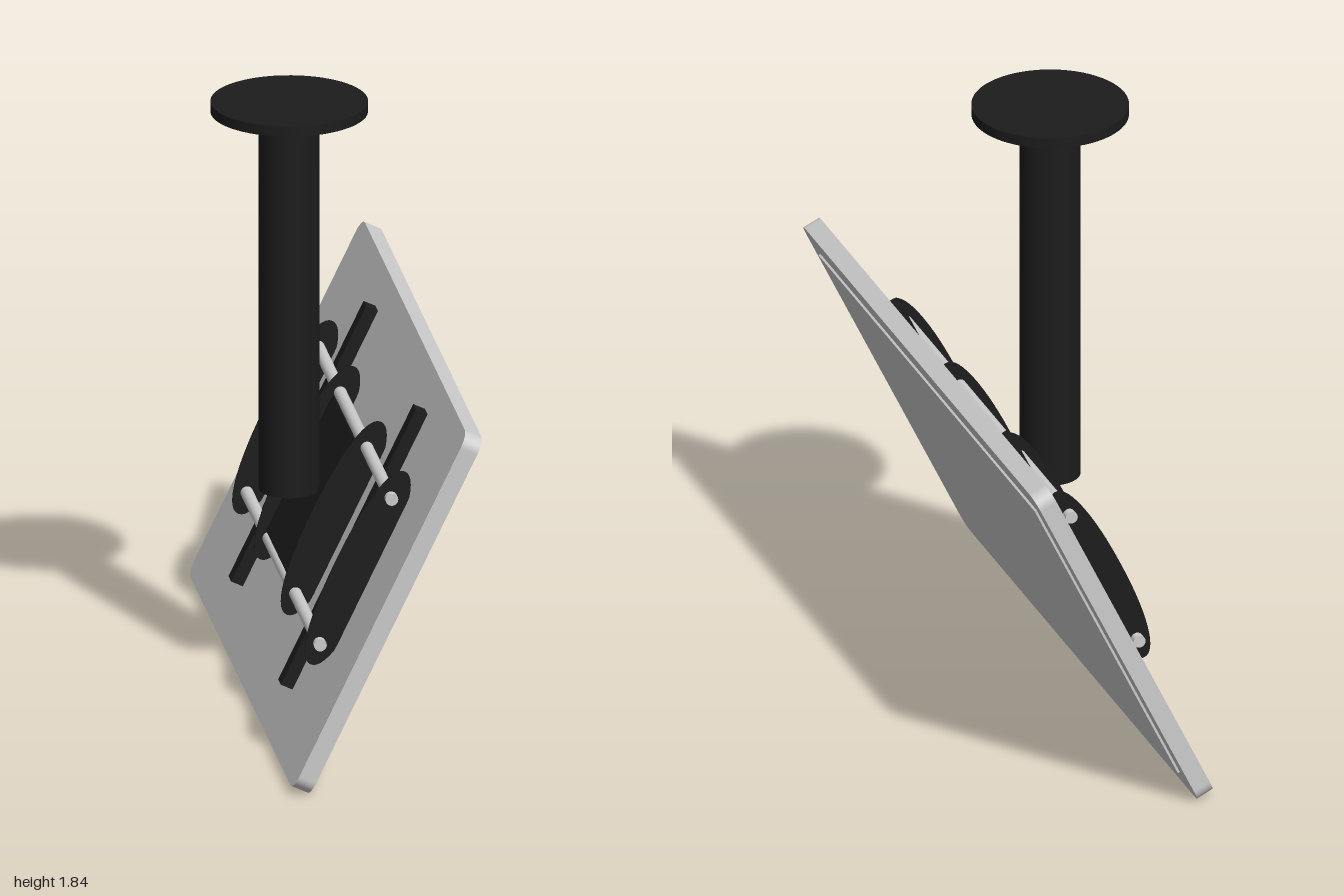
import * as THREE from 'three';

const black = new THREE.MeshStandardMaterial({ color: 0x1c1c1c });
const grey = new THREE.MeshStandardMaterial({ color: 0xcccccc });

function add(parent, name, geometry, material, x, y, z) {
  const mesh = new THREE.Mesh(geometry, material);
  mesh.name = name;
  mesh.position.set(x, y, z);
  parent.add(mesh);
  return mesh;
}

// Rounded rectangle, centred on the origin
function roundedRect(w, h, r) {
  const s = new THREE.Shape();
  const x = w / 2 - r, y = h / 2 - r;
  s.absarc(x, y, r, 0, Math.PI / 2);
  s.absarc(-x, y, r, Math.PI / 2, Math.PI);
  s.absarc(-x, -y, r, Math.PI, Math.PI * 1.5);
  s.absarc(x, -y, r, Math.PI * 1.5, Math.PI * 2);
  s.closePath();
  return s;
}

// Long oval side plate with blunt ends, its inner side cut flat at the panel
function ovalPlate(halfWidth, halfLength, flatX, thickness) {
  const pts = [];
  for (let i = 0; i < 56; i++) {
    const a = (i / 56) * Math.PI * 2;
    const c = Math.cos(a), s = Math.sin(a);
    const x = Math.sign(c) * Math.abs(c) ** 0.9 * halfWidth;
    const y = Math.sign(s) * Math.abs(s) ** 0.9 * halfLength;
    pts.push(new THREE.Vector2(Math.min(x, flatX), y));
  }
  const g = new THREE.ExtrudeGeometry(new THREE.Shape(pts), { depth: thickness, bevelEnabled: false });
  return g.translate(0, 0, -thickness / 2);
}

export function createModel() {
  const model = new THREE.Group();
  model.name = 'ceilingMountedScreen';
  const midZ = 0.033;

  // Ceiling disc and column
  add(model, 'ceilingPlate', new THREE.CylinderGeometry(0.233, 0.233, 0.032, 64), black, -0.1, 1.824, midZ);
  add(model, 'column', new THREE.CylinderGeometry(0.09, 0.09, 1.18, 48), black, -0.1, 1.22, midZ);

  // Tilted assembly: local x is the screen normal, local y runs up the screen
  const tilt = new THREE.Group();
  tilt.name = 'tiltedScreen';
  tilt.position.set(0.045, 0.5525, 0);
  tilt.rotation.z = -0.449;
  model.add(tilt);

  // Panel with rounded corners and a slightly raised display
  const depth = 0.055;
  const panel = new THREE.ExtrudeGeometry(roundedRect(2, 1.2, 0.045), { depth, bevelEnabled: false, curveSegments: 8 });
  panel.translate(0, 0, -depth / 2).rotateY(Math.PI / 2);
  add(tilt, 'panel', panel, grey, 0, 0, 0);
  add(tilt, 'display', new THREE.BoxGeometry(0.014, 1.04, 1.84), grey, depth / 2, 0, 0);

  // Mounting bars fixed to the back of the panel
  for (const z of [-0.445, 0.505]) {
    add(tilt, 'mountingBar', new THREE.BoxGeometry(0.04, 0.93, 0.05), black, -0.0465, 0.032, z);
  }

  // Thin oval side plates
  const oval = ovalPlate(0.07, 0.325, 0.047, 0.006);
  for (const z of [-0.642, -0.222, 0.287, 0.745]) {
    add(tilt, 'sidePlate', oval, black, -0.075, 0.037, z);
  }

  // Cross rods through the plates
  const rod = new THREE.CylinderGeometry(0.019, 0.019, 1.44, 24).rotateX(Math.PI / 2);
  for (const y of [-0.218, 0.274]) {
    add(tilt, 'crossRod', rod, grey, -0.08, y, 0.05);
  }

  // Central plate that carries the column
  add(tilt, 'centrePlate', new THREE.BoxGeometry(0.035, 0.46, 0.505), black, -0.08, 0.03, midZ);

  return model;
}
